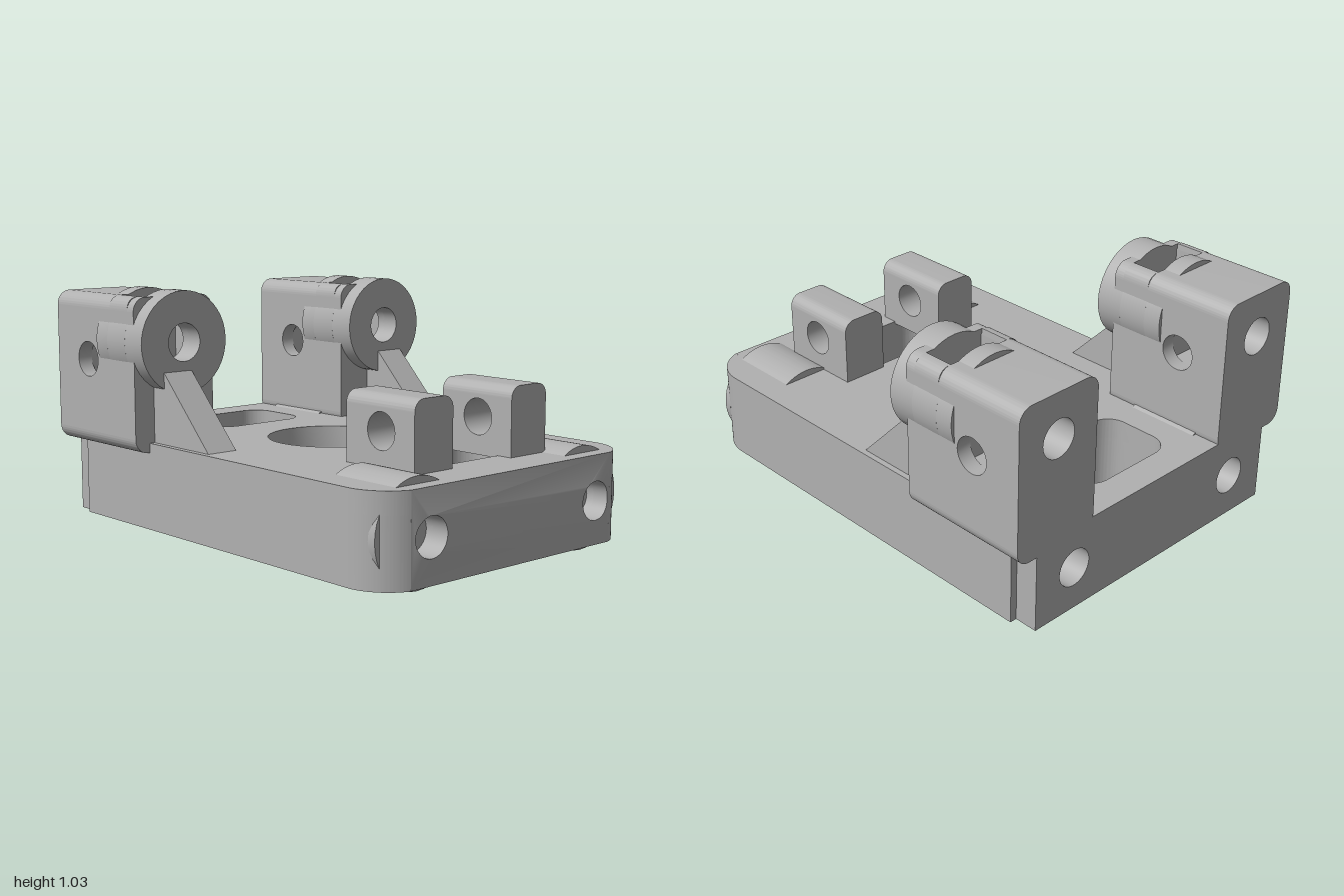
import * as THREE from 'three';
import { toCreasedNormals } from 'three/addons/utils/BufferGeometryUtils.js';

const grey = new THREE.MeshStandardMaterial({ color: 0xb0b0b0, side: THREE.DoubleSide });
grey.name = 'plainGrey';

const rect = (x0, y0, x1, y1) => new THREE.Shape().moveTo(x0, y0).lineTo(x1, y0).lineTo(x1, y1).lineTo(x0, y1).closePath();
const circle = (x, y, r) => new THREE.Path().absarc(x, y, r, 0, Math.PI * 2);
const disc = (x, y, r) => new THREE.Shape().absarc(x, y, r, 0, Math.PI * 2);

// Rectangle with separate radii for the top and bottom corners
function rounded(x0, y0, x1, y1, top, bottom = top) {
  const s = new THREE.Shape(), q = Math.PI / 2;
  if (bottom) s.absarc(x1 - bottom, y0 + bottom, bottom, -q, 0); else s.moveTo(x1, y0);
  if (top) s.absarc(x1 - top, y1 - top, top, 0, q).absarc(x0 + top, y1 - top, top, q, 2 * q);
  else s.lineTo(x1, y1).lineTo(x0, y1);
  if (bottom) s.absarc(x0 + bottom, y0 + bottom, bottom, 2 * q, 3 * q); else s.lineTo(x0, y0);
  return s.closePath();
}

// Extrude a shape between two positions on an axis; for x and y the shape's depth coordinate is -z
function extrude(shape, axis, from, to, holes = []) {
  shape.holes.push(...holes);
  const g = new THREE.ExtrudeGeometry(shape, { depth: to - from, bevelEnabled: false, curveSegments: 20 });
  g.translate(0, 0, from);
  if (axis === 'y') g.rotateX(-Math.PI / 2);
  if (axis === 'x') g.rotateY(Math.PI / 2);
  return g;
}

function add(group, name, geometry) {
  const mesh = new THREE.Mesh(toCreasedNormals(geometry, 0.6), grey);
  mesh.name = name;
  group.add(mesh);
}

const R = 0.215, SX = 0.465, SY = 0.215;

function basePlate(root) {
  const g = new THREE.Group();
  g.name = 'basePlate';
  const outline = () => {
    const s = new THREE.Shape().moveTo(0.7, -0.8);
    s.lineTo(0.7, 0.9).lineTo(0.67, 0.9).lineTo(0.67, 0.875).lineTo(-0.67, 0.875).lineTo(-0.67, 0.9).lineTo(-0.7, 0.9);
    s.lineTo(-0.7, -0.8).absarc(-0.5, -0.8, 0.2, Math.PI, Math.PI + 1.2531);
    s.lineTo(-0.5624, -0.89).lineTo(0.5624, -0.89);
    return s.absarc(0.5, -0.8, 0.2, -1.2531, 0).closePath();
  };
  const openings = () => [
    circle(-0.02, 0.05, 0.27),
    rounded(-0.235, 0.53, 0.235, 0.865, 0.09),
    rounded(-0.3, -0.74, 0.3, -0.46, 0.1)];
  // Nut pockets open only through the underside
  const pockets = [];
  for (const s of [-1, 1]) for (const [a, b] of [[-0.885, -0.73], [0.67, 0.845]])
    pockets.push(rect(s * SX - 0.13, a, s * SX + 0.13, b));
  add(g, 'plateLower', extrude(outline(), 'y', 0.03, 0.31, [...openings(), ...pockets]));
  add(g, 'plateUpper', extrude(outline(), 'y', 0.31, 0.4, openings()));

  // End walls with screw holes; the front one follows the corner rounding
  const screws = () => [circle(-SX, SY, 0.08), circle(SX, SY, 0.08)];
  const front = extrude(rect(-0.5624, 0.03, 0.5624, 0.4), 'z', 0.89, 1, screws());
  const p = front.attributes.position;
  for (let i = 0; i < p.count; i++) {
    const d = Math.abs(p.getX(i)) - 0.5;
    if (p.getZ(i) > 0.95 && d > 0) p.setZ(i, 0.8 + Math.sqrt(0.04 - d * d));
  }
  front.computeVertexNormals();
  add(g, 'frontWall', front);
  add(g, 'backWall', extrude(rect(-0.67, 0.03, 0.67, 0.4), 'z', -1, -0.875, screws()));

  // Screw bosses that bulge past the plate, split by the nut pockets below
  for (const s of [-1, 1]) {
    const cap = () => new THREE.Shape().absarc(s * SX, SY, R, 0.8, Math.PI - 0.8).closePath();
    add(g, 'frontBossTop', extrude(cap(), 'z', 0.6, 0.925));
    add(g, 'backBossTop', extrude(cap(), 'z', -0.885, -0.56));
    for (const [a, b] of [[0.61, 0.73], [0.89, 0.925], [-0.67, -0.56], [-0.885, -0.84]])
      add(g, 'bossRing', extrude(disc(s * SX, SY, R), 'z', a, b, [circle(s * SX, SY, 0.08)]));
  }
  root.add(g);
}

function lug(root, s) {
  const g = new THREE.Group();
  g.name = 'frontLug';
  const c = s * 0.2675, w = 0.1025;
  add(g, 'lugBody', extrude(rect(-0.81, 0.39, -0.435, 0.635), 'x', c - w, c + w, [circle(-0.63, 0.545, 0.075)]));
  add(g, 'lugTop', extrude(rounded(c - w, 0.635, c + w, 0.685, 0.05, 0), 'z', 0.435, 0.81));
  root.add(g);
}

function tower(root, s) {
  const g = new THREE.Group();
  g.name = 'rearTower';
  const c = s * 0.57, w = 0.2, k = 0.135, cy = 0.82;
  const bore = () => [circle(c, cy, 0.08)];

  // Side walls with the cross pin hole
  for (const [a, b] of [[c - w, c - k], [c + k, c + w]])
    add(g, 'towerSide', extrude(rect(0.42, 0.42, 1, 0.95), 'x', a, b, [circle(0.765, 0.73, 0.075)]));
  // Core, bored lengthways and open around the cross hole and the nut slot
  for (const [a, b] of [[-1, -0.84], [-0.69, -0.595], [-0.465, -0.42]])
    add(g, 'towerCore', extrude(rect(c - k, 0.42, c + k, 0.95), 'z', a, b, bore()));
  add(g, 'coreFloor', extrude(rect(c - k, 0.42, c + k, 0.655), 'z', -0.84, -0.69));
  add(g, 'coreRoof', extrude(rect(c - k, 0.9, c + k, 0.95), 'z', -0.84, -0.69));
  add(g, 'slotFloor', extrude(rect(c - k, 0.42, c + k, 0.73), 'z', -0.595, -0.465));
  // Rounded bottom and top
  add(g, 'towerFoot', extrude(rounded(c - w, 0.36, c + w, 0.42, 0, 0.06), 'z', -1, -0.42));
  for (const [a, b] of [[-1, -0.595], [-0.465, -0.42]])
    add(g, 'towerTop', extrude(rounded(c - w, 0.95, c + w, 1.01, 0.06, 0), 'z', a, b));
  for (const d of [-1, 1]) {
    const edge = new THREE.Shape().moveTo(c + d * k, 0.95).lineTo(c + d * w, 0.95);
    edge.quadraticCurveTo(c + d * w, 1.01, c + d * (w - 0.06), 1.01).closePath();
    add(g, 'slotEdge', extrude(edge, 'z', -0.595, -0.465));
  }

  // Round boss around the bore, with the nut slot cut from above
  for (const [a, b] of [[-0.465, -0.345], [-0.675, -0.595]])
    add(g, 'towerBoss', extrude(disc(c, cy, R), 'z', a, b, bore()));
  const t = Math.acos(k / R);
  const cup = new THREE.Shape().absarc(c, cy, R, Math.PI - t, Math.PI * 2 + t);
  cup.lineTo(c + k, cy - 0.09).lineTo(c - k, cy - 0.09).closePath();
  add(g, 'slottedBoss', extrude(cup, 'z', -0.595, -0.465));

  // Sloping brace
  const brace = new THREE.Shape().moveTo(0.05, 0.39).lineTo(0.05, 0.4).lineTo(0.345, 0.7).lineTo(0.43, 0.7).lineTo(0.43, 0.39).closePath();
  add(g, 'brace', extrude(brace, 'x', s * 0.605 - 0.07, s * 0.605 + 0.07));
  root.add(g);
}

export function createModel() {
  const root = new THREE.Group();
  root.name = 'mountingBracket';
  basePlate(root);
  for (const s of [-1, 1]) {
    lug(root, s);
    tower(root, s);
  }
  return root;
}
